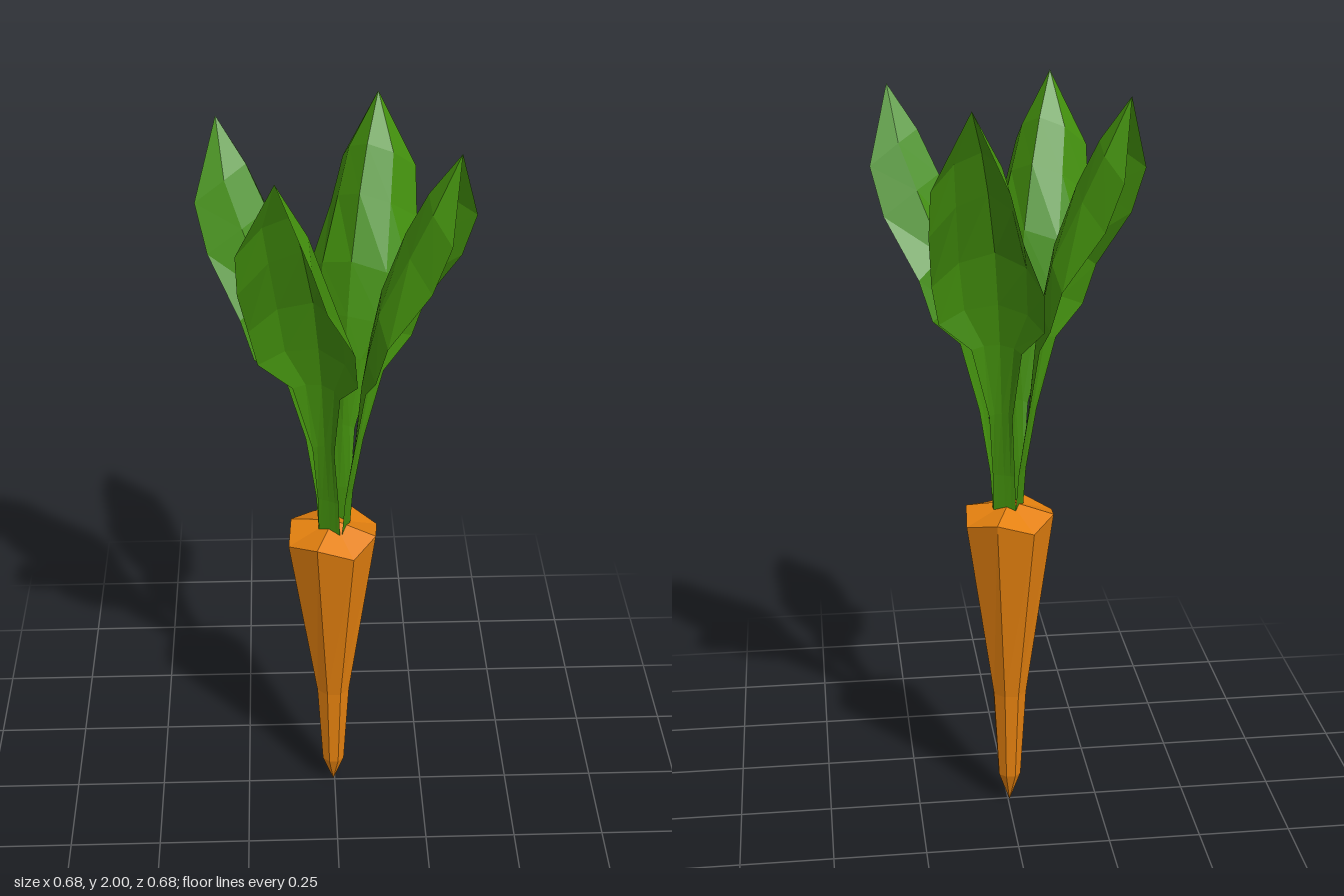
import * as THREE from 'three';

// Skin a grid of points (rows of equal length), skipping collapsed triangles
function loft(rows, material, name) {
  const pos = [];
  const tri = (a, b, c) => {
    if (a.distanceTo(b) > 1e-6 && b.distanceTo(c) > 1e-6 && c.distanceTo(a) > 1e-6) {
      for (const p of [a, b, c]) pos.push(p.x, p.y, p.z);
    }
  };
  for (let i = 0; i < rows.length - 1; i++) {
    for (let j = 0; j < rows[i].length - 1; j++) {
      tri(rows[i][j], rows[i + 1][j], rows[i][j + 1]);
      tri(rows[i][j + 1], rows[i + 1][j], rows[i + 1][j + 1]);
    }
  }
  const geometry = new THREE.BufferGeometry();
  geometry.setAttribute('position', new THREE.Float32BufferAttribute(pos, 3));
  geometry.computeVertexNormals();
  const mesh = new THREE.Mesh(geometry, material);
  mesh.name = name;
  return mesh;
}

export function createModel() {
  const model = new THREE.Group();
  model.name = 'carrot';
  const orange = new THREE.MeshStandardMaterial({ color: 0xe5810f, flatShading: true });
  const green = new THREE.MeshStandardMaterial({
    color: 0x43900d, flatShading: true, side: THREE.DoubleSide,
  });

  // Root: eight-sided taper; every other rim corner dips, the crown rises to a point
  // [main radius, main y, in-between radius, in-between y]
  const rings = [
    [0, 0, 0, 0],
    [0.033, 0.09, 0.032, 0.09],
    [0.049, 0.35, 0.047, 0.35],
    [0.13, 0.865, 0.121, 0.89],
    [0, 0.915, 0, 0.915],
  ];
  const rootRows = rings.map(([r1, y1, r2, y2]) =>
    Array.from({ length: 9 }, (_, j) => {
      const a = ((j % 8) * Math.PI) / 4;
      const r = j % 2 ? r1 : r2;
      return new THREE.Vector3(r * Math.cos(a), j % 2 ? y1 : y2, r * Math.sin(a));
    }));
  const root = loft(rootRows, orange, 'root');
  root.position.set(-0.004, 0, -0.005);
  root.rotation.y = THREE.MathUtils.degToRad(-22);
  model.add(root);

  // Leaf: flat stem widening into a blade, midrib bulging inwards, edges curling out
  // [midrib out, midrib y, edge out, edge y, half width]
  const stations = [
    [0.031, 0.89, 0.032, 0.89, 0.031],
    [0.038, 1.00, 0.040, 1.00, 0.030],
    [0.060, 1.18, 0.068, 1.17, 0.031],
    [0.077, 1.37, 0.108, 1.36, 0.066],
    [0.094, 1.48, 0.158, 1.435, 0.136],
    [0.122, 1.62, 0.190, 1.54, 0.143],
    [0.180, 1.78, 0.288, 1.69, 0.117],
    [0.235, 1.89, 0.328, 1.81, 0.098],
    [0.314, 2.00, 0.314, 2.00, 0],
  ];
  const leafRows = stations.map(([u0, y0, u1, y1, w]) =>
    [-1, -0.6, 0, 0.6, 1].map((t) => {
      const k = Math.abs(t) ** 2.2;
      return new THREE.Vector3(u0 + (u1 - u0) * k, y0 + (y1 - y0) * k, w * t);
    }));
  // Four leaves, each with its own slight turn: left, front, right, back
  [22.5, 117, 206, 292].forEach((angle, i) => {
    const leaf = loft(leafRows, green, 'leaf' + (i + 1));
    leaf.rotation.y = THREE.MathUtils.degToRad(-angle);
    model.add(leaf);
  });
  return model;
}
